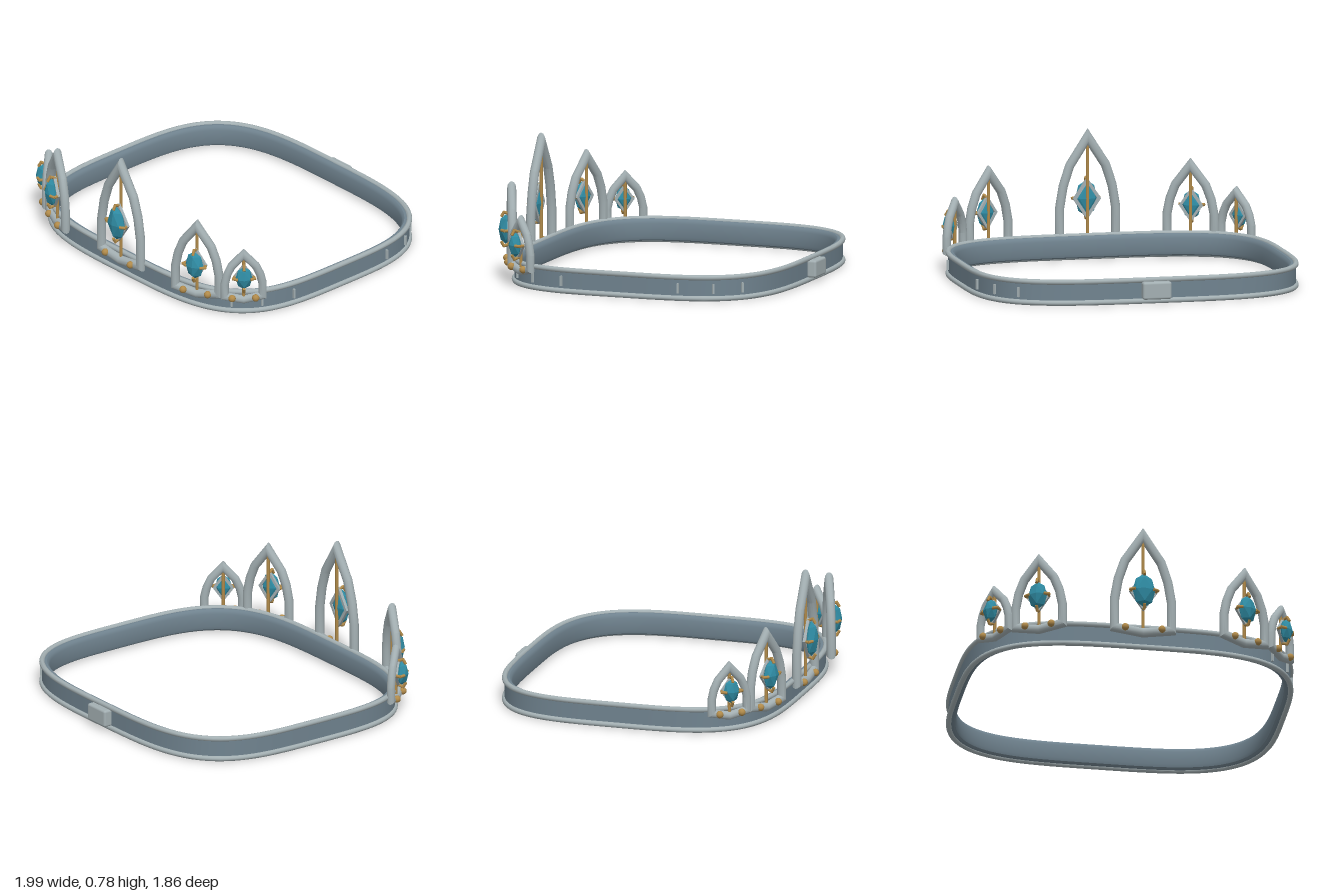
import * as THREE from 'three';
import { toCreasedNormals } from 'three/addons/utils/BufferGeometryUtils.js';
import { RoundedBoxGeometry } from 'three/addons/geometries/RoundedBoxGeometry.js';

const paint = (color, flatShading = false) => new THREE.MeshStandardMaterial({ color, flatShading });
const steel = paint(0x70838f);
const silver = paint(0xa3afb2);
const gold = paint(0xb08a4a);
const teal = paint(0x2f8ba3, true);

function add(parent, name, geometry, material, x = 0, y = 0, z = 0) {
  const mesh = new THREE.Mesh(geometry, material);
  mesh.name = name;
  mesh.position.set(x, y, z);
  parent.add(mesh);
  return mesh;
}

// Sweeps a closed section [outward, height] round a closed counter-clockwise path in xy, with mitred corners
function loopSweep(path, section) {
  const n = path.length, m = section.length, positions = [], index = [];
  for (let i = 0; i < n; i++) {
    const p = path[i];
    const before = p.clone().sub(path[(i + n - 1) % n]).normalize();
    const after = path[(i + 1) % n].clone().sub(p).normalize();
    const tangent = before.clone().add(after).normalize();
    const mitre = Math.min(2.2, 1 / tangent.dot(after));
    for (const [out, height] of section) {
      positions.push(p.x + tangent.y * out * mitre, p.y - tangent.x * out * mitre, height);
    }
    for (let j = 0; j < m; j++) {
      const a = i * m + j, b = ((i + 1) % n) * m + j;
      const c = ((i + 1) % n) * m + (j + 1) % m, d = i * m + (j + 1) % m;
      index.push(a, b, c, a, c, d);
    }
  }
  const geometry = new THREE.BufferGeometry();
  geometry.setAttribute('position', new THREE.Float32BufferAttribute(positions, 3));
  geometry.setIndex(index);
  return toCreasedNormals(geometry, 0.56);
}

const circle = (r, height = 0, sides = 12) => Array.from({ length: sides }, (_, i) => {
  const a = (i / sides) * Math.PI * 2;
  return [r * Math.cos(a), height + r * Math.sin(a)];
});

// Rounded-square outline of the headband
const HALF_X = 0.98, HALF_Z = 0.85, POWER = 3.6, CENTRE_Z = -0.025;
function outline(count) {
  return Array.from({ length: count }, (_, i) => {
    const a = (i / count) * Math.PI * 2, c = Math.cos(a), s = Math.sin(a);
    const r = (Math.abs(c / HALF_X) ** POWER + Math.abs(s / HALF_Z) ** POWER) ** (-1 / POWER);
    return new THREE.Vector2(r * c, r * s);
  });
}

function rod(parent, name, from, to, radius, material) {
  const dir = to.clone().sub(from);
  const mesh = add(parent, name, new THREE.CylinderGeometry(radius, radius, dir.length(), 8), material);
  mesh.position.copy(from).addScaledVector(dir, 0.5);
  mesh.quaternion.setFromUnitVectors(new THREE.Vector3(0, 1, 0), dir.normalize());
}

function buildBand(parent) {
  const path = outline(160);
  const wall = [[0, 0.016], [0, 0.145], [-0.03, 0.147], [-0.04, 0.138], [-0.046, 0.12],
    [-0.046, 0.04], [-0.04, 0.022], [-0.03, 0.014]];
  const parts = [['bandWall', wall, steel], ['upperRim', circle(0.016, 0.143), silver],
    ['lowerRim', circle(0.016, 0.017), silver]];
  for (const [name, section, material] of parts) {
    add(parent, name, loopSweep(path, section), material, 0, 0, CENTRE_Z).rotation.x = -Math.PI / 2;
  }

  // Small upright marks along the left side
  for (const side of [-1, 1]) {
    for (const dz of [0.37, 0.57, 0.71]) {
      const x = HALF_X * (1 - (dz / HALF_Z) ** POWER) ** (1 / POWER);
      const nx = (x / HALF_X) ** (POWER - 1) / HALF_X;
      const nz = side * (dz / HALF_Z) ** (POWER - 1) / HALF_Z;
      const mark = add(parent, 'sideMark', new THREE.BoxGeometry(0.012, 0.06, 0.026), silver,
        x, 0.077, CENTRE_Z + side * dz);
      mark.rotation.y = Math.atan2(nx, nz);
    }
  }

  // Clasp at the back
  add(parent, 'clasp', new RoundedBoxGeometry(0.174, 0.105, 0.06, 3, 0.014), silver, 0, 0.083, -0.9);
}

// Pointed arch with a spine, two beads and a clawed gem
function buildArch({ halfWidth: w, apex, gemY, gemW, gemH, beadX, tube }) {
  const arch = new THREE.Group();
  arch.name = 'archOrnament';
  const base = 0.125, rise = apex - base;
  const side = [[w, base], [w, base + rise * 0.3], [w * 0.87, base + rise * 0.52], [w * 0.64, base + rise * 0.72]];
  const path = [[0, 0.1], ...side, [0, apex], ...side.map(([x, y]) => [-x, y]).reverse()]
    .map(([x, y]) => new THREE.Vector2(x, y));
  add(arch, 'archFrame', loopSweep(path, circle(tube)), silver);
  rod(arch, 'spine', new THREE.Vector3(0, 0.1, 0), new THREE.Vector3(0, apex, 0), 0.01, gold);
  for (const s of [-1, 1]) {
    add(arch, 'bead', new THREE.SphereGeometry(0.022, 16, 12), gold, s * beadX, 0.12, 0.026);
  }

  // Diamond-shaped setting
  const diamond = (Type, x, y) => new Type(
    [[x, 0], [0, y], [-x, 0], [0, -y]].map(([px, py]) => new THREE.Vector2(px, py)));
  const setting = diamond(THREE.Shape, gemW * 1.25, gemH * 1.17);
  setting.holes.push(diamond(THREE.Path, gemW * 0.9, gemH * 0.86));
  add(arch, 'gemSetting', new THREE.ExtrudeGeometry(setting, { depth: 0.018, bevelEnabled: false }),
    silver, 0, gemY, 0.008);

  // Faceted gem
  const gem = add(arch, 'gem', new THREE.OctahedronGeometry(1, 1), teal, 0, gemY, 0.036);
  gem.scale.set(gemW, gemH, 0.042);

  // Four claws
  for (const [dx, dy] of [[1, 0], [-1, 0], [0, 1], [0, -1]]) {
    const at = (extra, z) => new THREE.Vector3(dx * (gemW + extra), gemY + dy * (gemH + extra), z);
    rod(arch, 'claw', at(0.002, 0.012), at(0.014, 0.045), 0.009, gold);
    rod(arch, 'claw', at(0.018, 0.043), at(-0.014, 0.062), 0.009, gold);
  }
  return arch;
}

export function createModel() {
  const model = new THREE.Group();
  model.name = 'tiara';
  buildBand(model);

  const large = { halfWidth: 0.171, apex: 0.732, gemY: 0.36, gemW: 0.068, gemH: 0.108, beadX: 0.11, tube: 0.028 };
  const medium = { halfWidth: 0.142, apex: 0.548, gemY: 0.305, gemW: 0.058, gemH: 0.088, beadX: 0.08, tube: 0.027 };
  const small = { halfWidth: 0.112, apex: 0.4, gemY: 0.26, gemW: 0.05, gemH: 0.073, beadX: 0.07, tube: 0.025 };
  const place = (spec, name, x, z, degrees) => {
    const arch = buildArch(spec);
    arch.name = name;
    arch.position.set(x, 0, z);
    arch.rotation.y = THREE.MathUtils.degToRad(degrees);
    model.add(arch);
  };
  place(large, 'centreArch', 0, 0.847, 0);
  for (const s of [-1, 1]) {
    const label = s > 0 ? 'left' : 'right';
    place(medium, label + 'MiddleArch', s * 0.615, 0.797, s * 23);
    place(small, label + 'OuterArch', s * 0.857, 0.645, s * 51);
  }
  return model;
}
